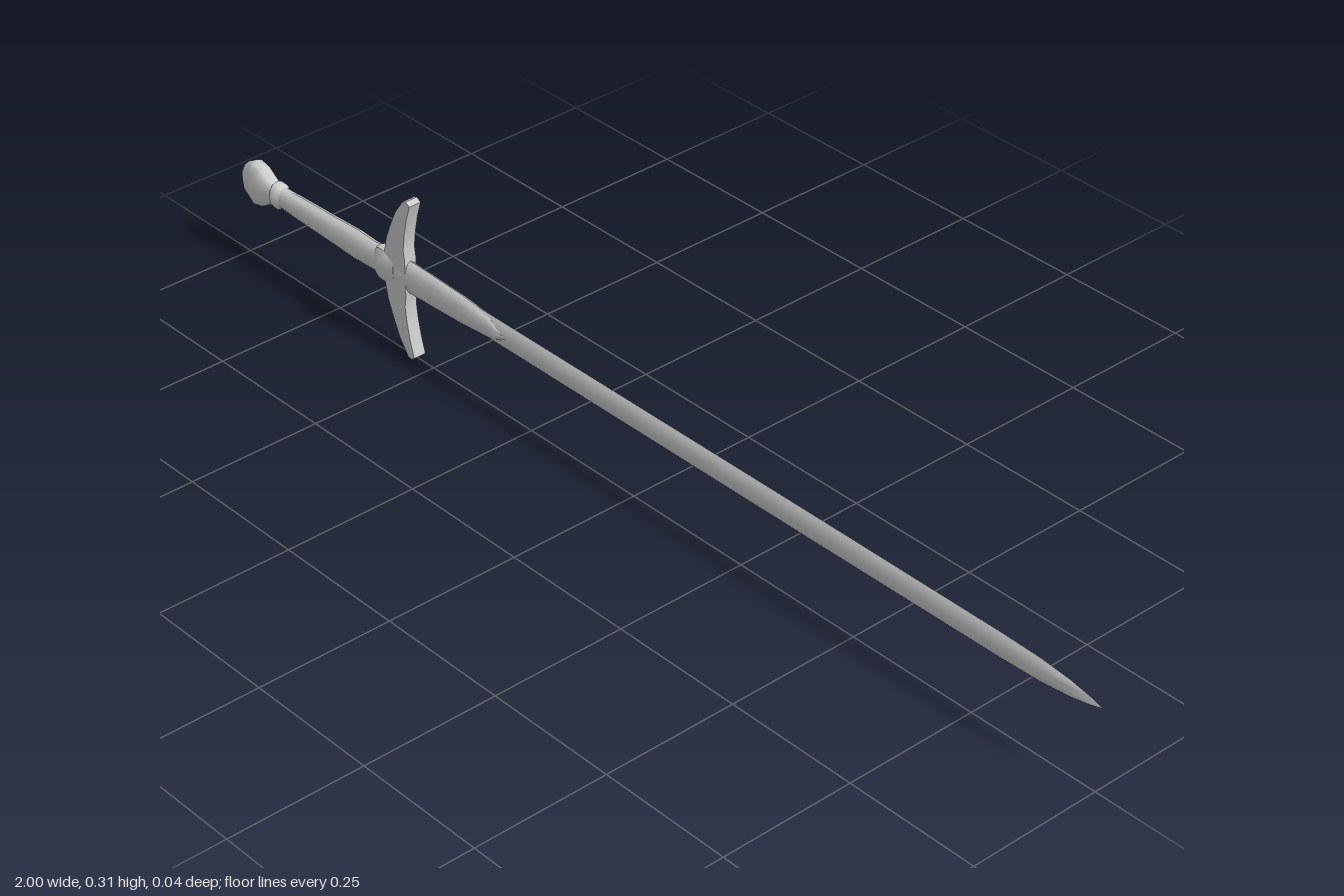
import * as THREE from 'three';
import { toCreasedNormals } from 'three/addons/utils/BufferGeometryUtils.js';

const material = new THREE.MeshStandardMaterial({ color: 0xcccccc });
const MID = 0.153; // height of the sword's axis

// Skin stations [x, halfHeight, halfDepth] along x. power 1 = ellipse, 2 = diamond, below 1 = boxy.
function loft(name, stations, sides, power, crease) {
  const pos = [], index = [];
  const bend = (v) => Math.sign(v) * Math.pow(Math.abs(v), power);
  for (const [x, hy, hz] of stations) {
    for (let i = 0; i < sides; i++) {
      const a = (i / sides) * Math.PI * 2;
      const c = Math.abs(Math.cos(a)) < 1e-6 ? 0 : Math.cos(a);
      const s = Math.abs(Math.sin(a)) < 1e-6 ? 0 : Math.sin(a);
      pos.push(x, MID + hy * bend(c), hz * bend(s));
    }
  }
  const last = stations.length - 1;
  for (let r = 0; r < last; r++) {
    for (let i = 0; i < sides; i++) {
      const a = r * sides + i, b = r * sides + ((i + 1) % sides);
      index.push(a, b, a + sides, b, b + sides, a + sides);
    }
  }
  // end caps
  const start = pos.length / 3;
  pos.push(stations[0][0], MID, 0, stations[last][0], MID, 0);
  for (let i = 0; i < sides; i++) {
    const j = (i + 1) % sides;
    index.push(start, j, i, start + 1, last * sides + i, last * sides + j);
  }
  const geometry = new THREE.BufferGeometry();
  geometry.setAttribute('position', new THREE.Float32BufferAttribute(pos, 3));
  geometry.setIndex(index);
  const mesh = new THREE.Mesh(toCreasedNormals(geometry, crease), material);
  mesh.name = name;
  return mesh;
}

// Crescent crossguard, upper half mirrored to the lower half
function crossguard() {
  const upper = [
    [-0.607, 0.03], [-0.6, 0.06], [-0.588, 0.09], [-0.573, 0.122], [-0.553, 0.15], [-0.545, 0.153],
    [-0.536, 0.147], [-0.545, 0.118], [-0.552, 0.085], [-0.556, 0.055], [-0.553, 0.035],
  ];
  const lower = upper.map(([x, y]) => [x, -y]).reverse();
  const outline = [...upper, ...lower].map(([x, y]) => new THREE.Vector2(x, y + MID));
  const geometry = new THREE.ExtrudeGeometry(new THREE.Shape(outline), { depth: 0.024, bevelEnabled: false });
  geometry.translate(0, 0, -0.012);
  const mesh = new THREE.Mesh(toCreasedNormals(geometry, 0.6), material);
  mesh.name = 'crossguard';
  return mesh;
}

export function createModel() {
  const sword = new THREE.Group();
  sword.name = 'sword';
  sword.add(
    loft('blade', [
      [-0.58, 0.024, 0.008], [0.4, 0.024, 0.008], [0.8, 0.023, 0.0075], [0.88, 0.021, 0.007],
      [0.94, 0.015, 0.0055], [0.98, 0.007, 0.003], [1.0, 0.001, 0.0008],
    ], 12, 1.4, 1.0),
    // sleeve over the root of the blade, narrowing to a point
    loft('bladeCollar', [
      [-0.58, 0.032, 0.013], [-0.5, 0.03, 0.0125], [-0.42, 0.027, 0.0115],
      [-0.35, 0.021, 0.0105], [-0.32, 0.012, 0.0095], [-0.3, 0.002, 0.008],
    ], 12, 1.0, 0.8),
    crossguard(),
    loft('gripCollar', [
      [-0.632, 0.029, 0.015], [-0.624, 0.033, 0.018], [-0.606, 0.033, 0.018], [-0.585, 0.029, 0.013],
    ], 12, 0.75, 0.7),
    loft('grip', [
      [-0.92, 0.019, 0.013], [-0.85, 0.023, 0.014], [-0.76, 0.026, 0.015],
      [-0.69, 0.029, 0.0155], [-0.65, 0.027, 0.015], [-0.61, 0.029, 0.015],
    ], 12, 1.0, 0.8),
    loft('pommelRing', [
      [-0.918, 0.018, 0.013], [-0.912, 0.025, 0.018], [-0.9, 0.025, 0.018], [-0.892, 0.02, 0.013],
    ], 12, 0.9, 0.7),
    loft('pommel', [
      [-1.0, 0.018, 0.009], [-0.99, 0.031, 0.015], [-0.967, 0.044, 0.02],
      [-0.945, 0.039, 0.019], [-0.925, 0.026, 0.016], [-0.908, 0.02, 0.013],
    ], 12, 0.8, 0.8),
  );
  return sword;
}
